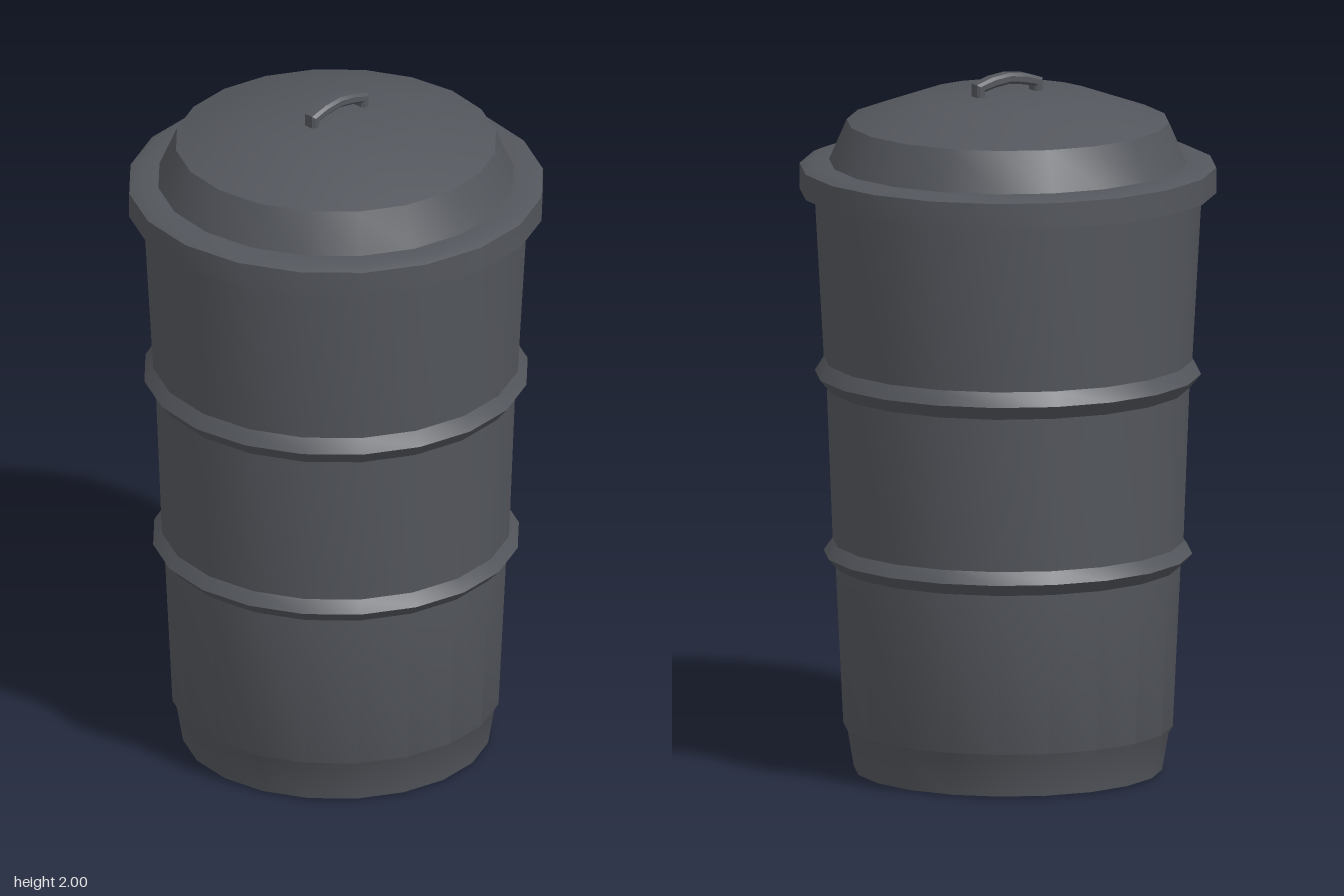
import * as THREE from 'three';
import { toCreasedNormals } from 'three/addons/utils/BufferGeometryUtils.js';

const SIDES = 20;
const CREASE = THREE.MathUtils.degToRad(30);

export function createModel() {
  const model = new THREE.Group();
  model.name = 'trashCan';
  const plastic = new THREE.MeshStandardMaterial({ color: 0x53565c });
  plastic.name = 'darkGreyPlastic';

  function add(name, geometry) {
    const mesh = new THREE.Mesh(toCreasedNormals(geometry, CREASE), plastic);
    mesh.name = name;
    model.add(mesh);
  }
  function turned(name, profile) {
    const points = profile.map(([r, y]) => new THREE.Vector2(r, y));
    add(name, new THREE.LatheGeometry(points, SIDES));
  }

  // Tapered body with a narrowed foot and two pointed ribs
  turned('body', [
    [0, 0], [0.41, 0], [0.435, 0.005], [0.453, 0.11], [0.465, 0.13],
    [0.487, 0.59], [0.52, 0.625], [0.495, 0.66],
    [0.512, 1.10], [0.545, 1.14], [0.52, 1.18],
    [0.547, 1.665],
  ]);

  // Lid with an overhanging rim and a stepped dome
  turned('lid', [
    [0.5, 1.66], [0.588, 1.66], [0.588, 1.733], [0.56, 1.745], [0.505, 1.745],
    [0.455, 1.86], [0.245, 1.935], [0, 1.943],
  ]);

  // Arched handle with chamfered edges
  const bevel = 0.008;
  const arch = new THREE.Shape([
    [-0.102, 1.935], [-0.102, 1.97], [-0.055, 1.985], [0, 1.992],
    [0.055, 1.985], [0.102, 1.97], [0.102, 1.935],
    [0.09, 1.935], [0.09, 1.96], [0.05, 1.97], [0, 1.977],
    [-0.05, 1.97], [-0.09, 1.96], [-0.09, 1.935],
  ].map(([x, y]) => new THREE.Vector2(x, y)));
  const depth = 0.028;
  const handle = new THREE.ExtrudeGeometry(arch, {
    depth, bevelEnabled: true, bevelSize: bevel, bevelThickness: bevel, bevelSegments: 1,
  });
  handle.translate(0.003, 0, -depth / 2);
  add('handle', handle);

  return model;
}
